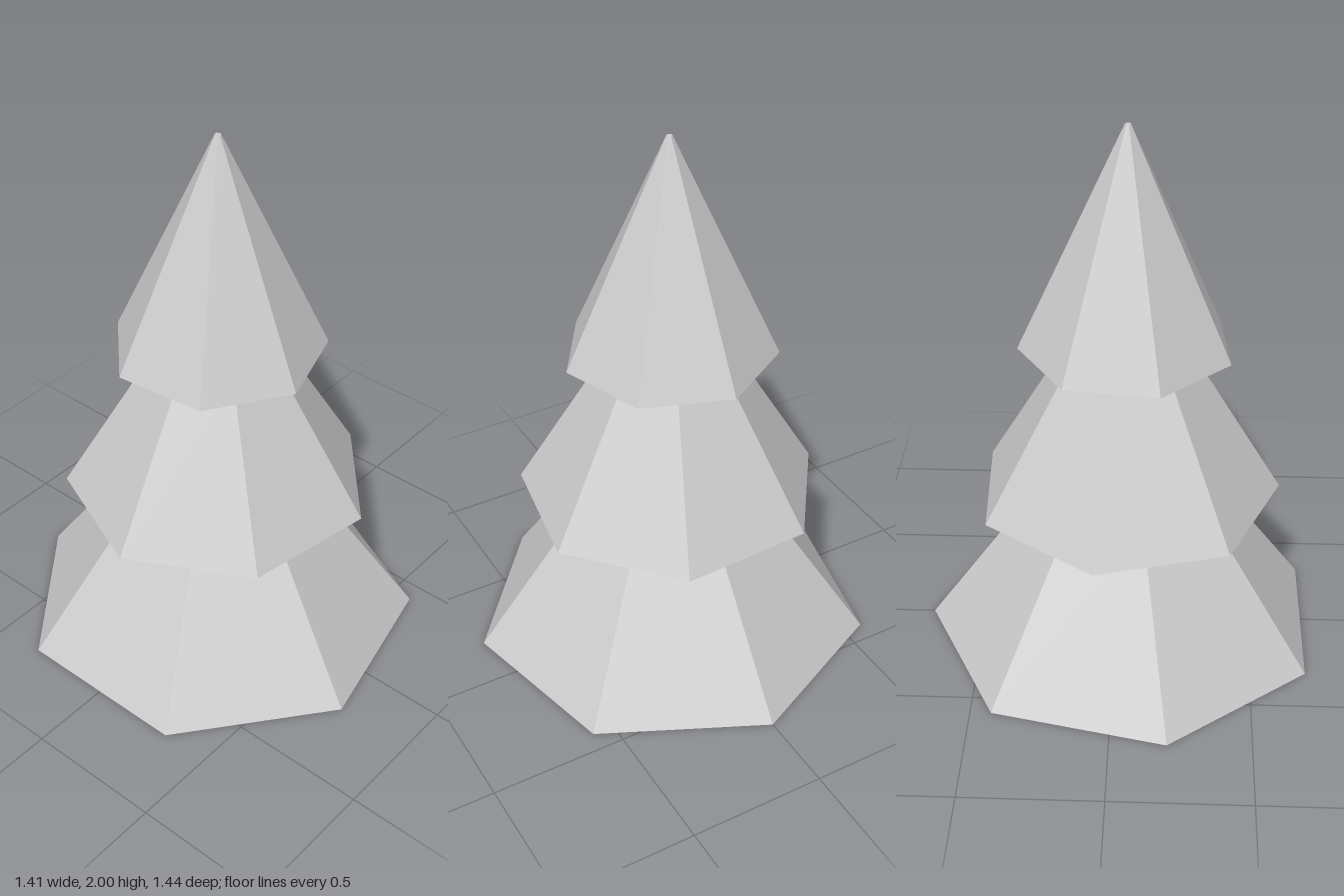
import * as THREE from 'three';

const SIDES = 7;

export function createModel() {
  const tree = new THREE.Group();
  tree.name = 'pineTree';

  const foliage = new THREE.MeshStandardMaterial({ color: 0xcccccc, flatShading: true });
  foliage.name = 'light grey';

  // Stacked seven-sided tiers; turn is the angle of one corner from +x towards +z
  const tiers = [
    { name: 'lowerTier', y0: 0, y1: 0.6, bottom: 0.741, top: 0.315, turn: 0 },
    { name: 'middleTier', y0: 0.595, y1: 1.19, bottom: 0.56, top: 0.207, turn: 22.8 },
    { name: 'upperTier', y0: 1.185, y1: 2, bottom: 0.384, top: 0.011, turn: -5.8 },
  ];

  for (const t of tiers) {
    const start = Math.PI / 2 - THREE.MathUtils.degToRad(t.turn);
    const geometry = new THREE.CylinderGeometry(t.top, t.bottom, t.y1 - t.y0, SIDES, 1, false, start);
    const mesh = new THREE.Mesh(geometry, foliage);
    mesh.name = t.name;
    mesh.position.set(-0.037, (t.y0 + t.y1) / 2, 0);
    tree.add(mesh);
  }

  return tree;
}
